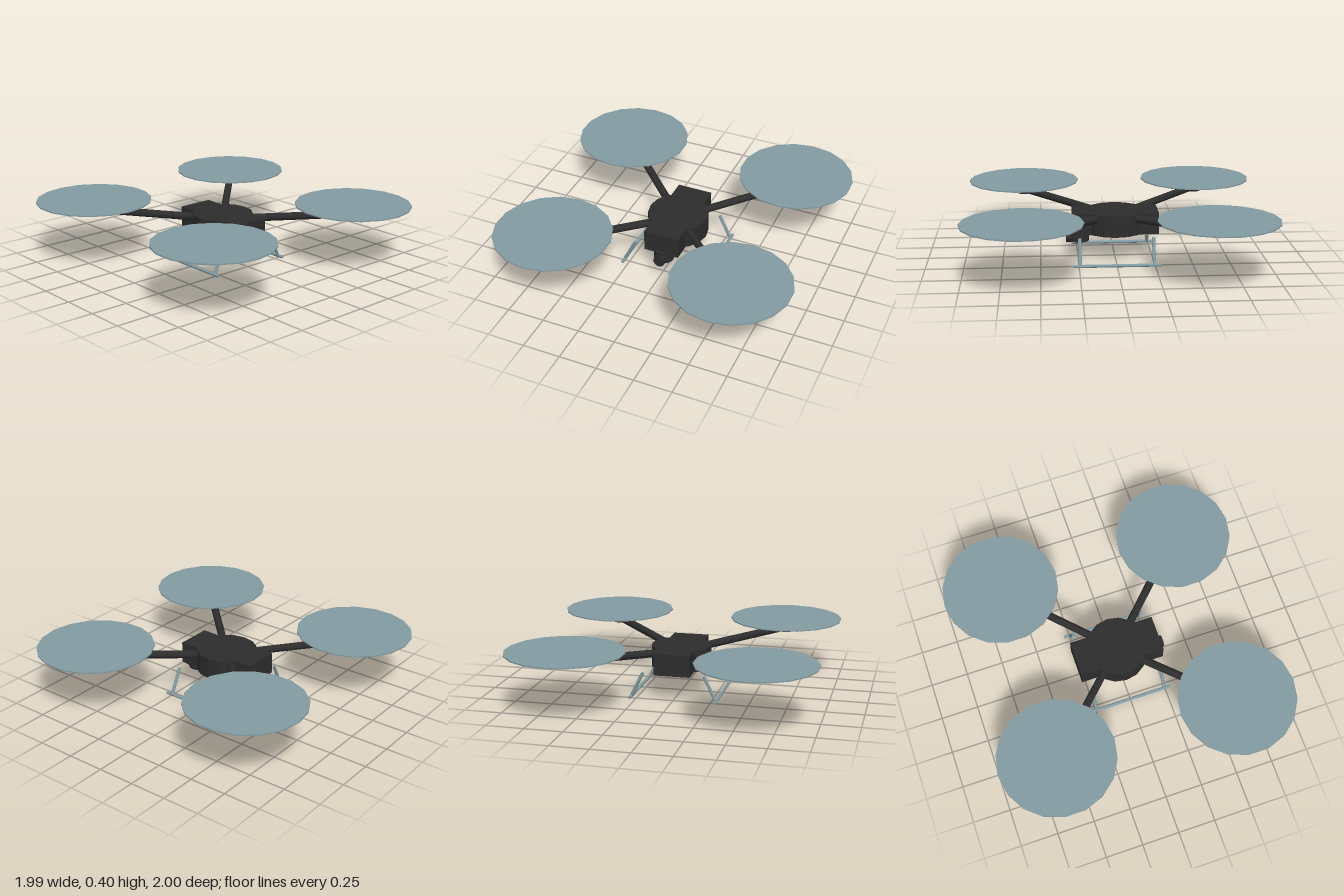
import * as THREE from 'three';

const dark = new THREE.MeshStandardMaterial({ color: 0x2d2d2d });
dark.name = 'charcoal';
const blue = new THREE.MeshStandardMaterial({ color: 0x839ba3 });
blue.name = 'greyBlue';

// Cylinders are faceted: sides become flat faces
function cylinderGeometry(radius, height, sides) {
  const g = new THREE.CylinderGeometry(radius, radius, height, sides).toNonIndexed();
  g.computeVertexNormals();
  return g;
}

function add(parent, name, geometry, material, x, y, z) {
  const mesh = new THREE.Mesh(geometry, material);
  mesh.name = name;
  mesh.position.set(x, y, z);
  parent.add(mesh);
  return mesh;
}

// Round bar between two points
function bar(parent, name, from, to, radius, sides, material) {
  const a = new THREE.Vector3(...from);
  const b = new THREE.Vector3(...to);
  const dir = b.clone().sub(a);
  const mid = a.clone().add(b).multiplyScalar(0.5);
  const mesh = add(parent, name, cylinderGeometry(radius, dir.length(), sides), material, mid.x, mid.y, mid.z);
  mesh.quaternion.setFromUnitVectors(new THREE.Vector3(0, 1, 0), dir.normalize());
  return mesh;
}

export function createModel() {
  const drone = new THREE.Group();
  drone.name = 'quadcopter';

  // Body: long box through a round hub
  add(drone, 'bodyBox', new THREE.BoxGeometry(0.24, 0.145, 0.573), dark, 0, 0.2525, 0);
  add(drone, 'bodyHub', cylinderGeometry(0.202, 0.143, 16), dark, 0, 0.2525, 0);

  // Camera slung under the nose
  add(drone, 'cameraMount', cylinderGeometry(0.067, 0.08, 16), dark, 0, 0.155, 0.24);
  bar(drone, 'cameraLens', [0, 0.14, 0.22], [0, 0.14, 0.327], 0.039, 12, dark);

  // Four arms, each with a motor and a spinning rotor disc
  for (const sx of [-1, 1]) {
    for (const sz of [-1, 1]) {
      const unit = new THREE.Group();
      unit.name = (sz > 0 ? 'front' : 'rear') + (sx > 0 ? 'Left' : 'Right') + 'RotorArm';
      bar(unit, 'arm', [sx * 0.135, 0.29, sz * 0.135], [sx * 0.61, 0.331, sz * 0.61], 0.026, 10, dark);
      add(unit, 'motor', cylinderGeometry(0.046, 0.08, 14), dark, sx * 0.612, 0.342, sz * 0.613);
      add(unit, 'rotorDisc', cylinderGeometry(0.387, 0.008, 18), blue, sx * 0.612, 0.396, sz * 0.613);
      drone.add(unit);
    }
  }

  // Landing gear: a skid and two sloping struts on each side
  for (const sx of [-1, 1]) {
    const gear = new THREE.Group();
    gear.name = sx > 0 ? 'leftLandingGear' : 'rightLandingGear';
    bar(gear, 'skid', [sx * 0.286, 0.016, -0.286], [sx * 0.286, 0.016, 0.286], 0.011, 8, blue);
    for (const z of [-0.243, 0.243]) {
      bar(gear, 'strut', [sx * 0.205, 0.182, z], [sx * 0.286, 0.016, z], 0.011, 8, blue);
    }
    drone.add(gear);
  }

  // Rest the lowest point on the ground
  const box = new THREE.Box3().setFromObject(drone, true);
  drone.children.forEach((part) => { part.position.y -= box.min.y; });
  return drone;
}
